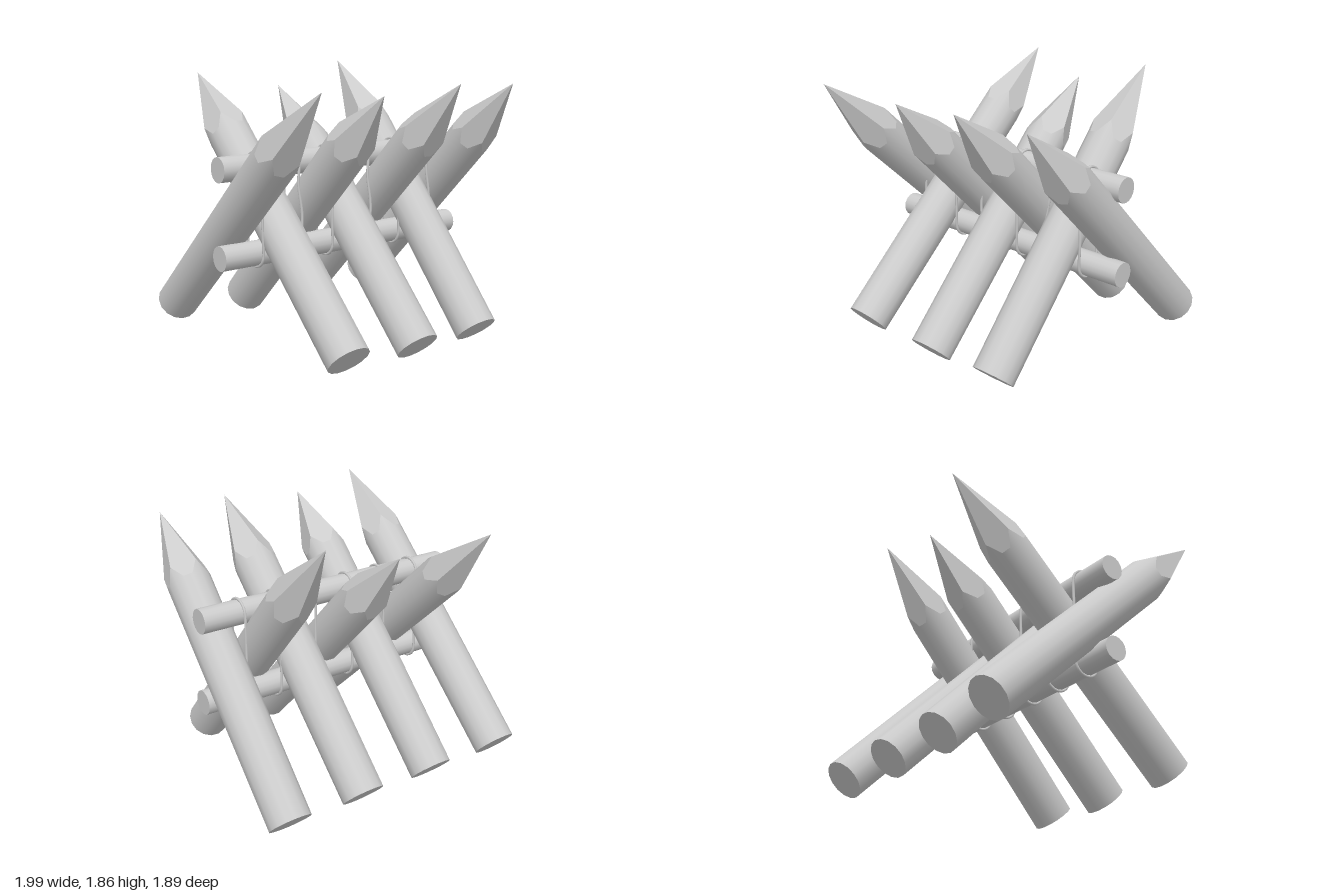
import * as THREE from 'three';

const smooth = new THREE.MeshStandardMaterial({ color: 0xcccccc });
const faceted = new THREE.MeshStandardMaterial({ color: 0xcccccc, flatShading: true });
const SIDES = 15, FACETS = 5, R = 0.15;

function mesh(name, geometry, material = smooth) {
  const m = new THREE.Mesh(geometry, material);
  m.name = name;
  return m;
}

// How far below the tip a flat axe cut meets the round shaft at this angle
function cutDepth(x, z, cut) {
  const step = (Math.PI * 2) / FACETS;
  const a = Math.atan2(x, z) + Math.PI * 2 + 1e-6;
  return cut * Math.cos((a % step) - step / 2);
}

// Log from base to tip, sharpened by five flat cuts; ridge turns the cuts
function sharpenedLog(name, base, tip, cut, ridge) {
  const b = new THREE.Vector3(...base), t = new THREE.Vector3(...tip);
  const length = b.distanceTo(t);
  const shaft = new THREE.CylinderGeometry(R, R * 0.965, 2, SIDES);
  const point = new THREE.ConeGeometry(R, 2, SIDES, 1, true);

  const p = shaft.attributes.position;
  for (let i = 0; i < p.count; i++) {
    const x = p.getX(i), z = p.getZ(i);
    if (p.getY(i) < 0) p.setY(i, 0);
    else p.setY(i, length - (Math.hypot(x, z) < 0.01 ? cut : cutDepth(x, z, cut)));
  }
  const q = point.attributes.position;
  for (let i = 0; i < q.count; i++) {
    q.setY(i, q.getY(i) > 0 ? length : length - cutDepth(q.getX(i), q.getZ(i), cut));
  }

  const log = new THREE.Group();
  log.name = name;
  log.add(mesh('logShaft', shaft.rotateY(ridge)), mesh('logPoint', point.rotateY(ridge), faceted));

  // Aim the log along its axis
  const d = t.clone().sub(b).normalize();
  const v = new THREE.Vector3(1, 0, 0).cross(d).normalize();
  const u = d.clone().cross(v);
  log.quaternion.setFromRotationMatrix(new THREE.Matrix4().makeBasis(u, d, v));
  log.position.copy(b);
  return log;
}

const HIGH = 1.255, LOW = 0.68, BEAM_Z = 0.015, BEAM_R = 0.084;

// Closed rope loop round both beams, squeezed sideways between the logs
function ropeLoop(x, side) {
  const r = BEAM_R + 0.007, pts = [];
  const add = (dx, y, z) => pts.push(new THREE.Vector3(x + dx, y, BEAM_Z + z));
  for (let i = 0; i <= 8; i++) {
    const a = (Math.PI * i) / 8;
    add(0, HIGH + r * Math.sin(a), -r * Math.cos(a));
  }
  add(-0.012 * side, 1.12, r + 0.006);
  add(0.012 * side, 0.9, r + 0.012);
  for (let i = 0; i <= 8; i++) {
    const a = (Math.PI * i) / 8;
    add(0, LOW - r * Math.sin(a), r * Math.cos(a));
  }
  add(0, 0.85, -r);
  add(0, 1.08, -r);
  const curve = new THREE.CatmullRomCurve3(pts, true, 'centripetal');
  return mesh('rope', new THREE.TubeGeometry(curve, 80, 0.01, 6, true));
}

export function createModel() {
  const model = new THREE.Group();
  model.name = 'spikedBarricade';

  // Logs leaning back: base, tip, cut length, ridge angle in degrees
  [
    [[-0.595, 0.145, 0.84], [-0.58, 1.8, -0.95], 0.61, 40],
    [[0, 0.1, 0.8], [-0.02, 1.695, -0.75], 0.55, 0],
    [[0.55, 0.1, 0.78], [0.54, 1.86, -0.765], 0.63, 20],
  ].forEach(([base, tip, cut, deg]) =>
    model.add(sharpenedLog('backLeaningLog', base, tip, cut, THREE.MathUtils.degToRad(deg))));

  // Logs leaning forward
  [
    [[-0.855, 0.175, -0.84], [-0.84, 1.795, 0.905], 0.63, 20],
    [[-0.298, 0.145, -0.81], [-0.28, 1.735, 0.78], 0.51, -15],
    [[0.275, 0.145, -0.81], [0.3, 1.785, 0.84], 0.57, 0],
    [[0.845, 0.15, -0.815], [0.83, 1.76, 0.79], 0.56, -15],
  ].forEach(([base, tip, cut, deg]) =>
    model.add(sharpenedLog('forwardLeaningLog', base, tip, cut, THREE.MathUtils.degToRad(180 - deg))));

  // Two cross beams, above and below where the logs cross
  for (const [name, y] of [['upperBeam', HIGH], ['lowerBeam', LOW]]) {
    const beam = mesh(name, new THREE.CylinderGeometry(BEAM_R, BEAM_R, 1.975, 16));
    beam.rotation.z = Math.PI / 2;
    beam.position.set(-0.0125, y, BEAM_Z);
    model.add(beam);
  }

  // A rope in every gap
  [-0.725, -0.437, -0.165, 0.145, 0.425, 0.69].forEach((x, i) =>
    model.add(ropeLoop(x, i % 2 ? 1 : -1)));

  return model;
}
